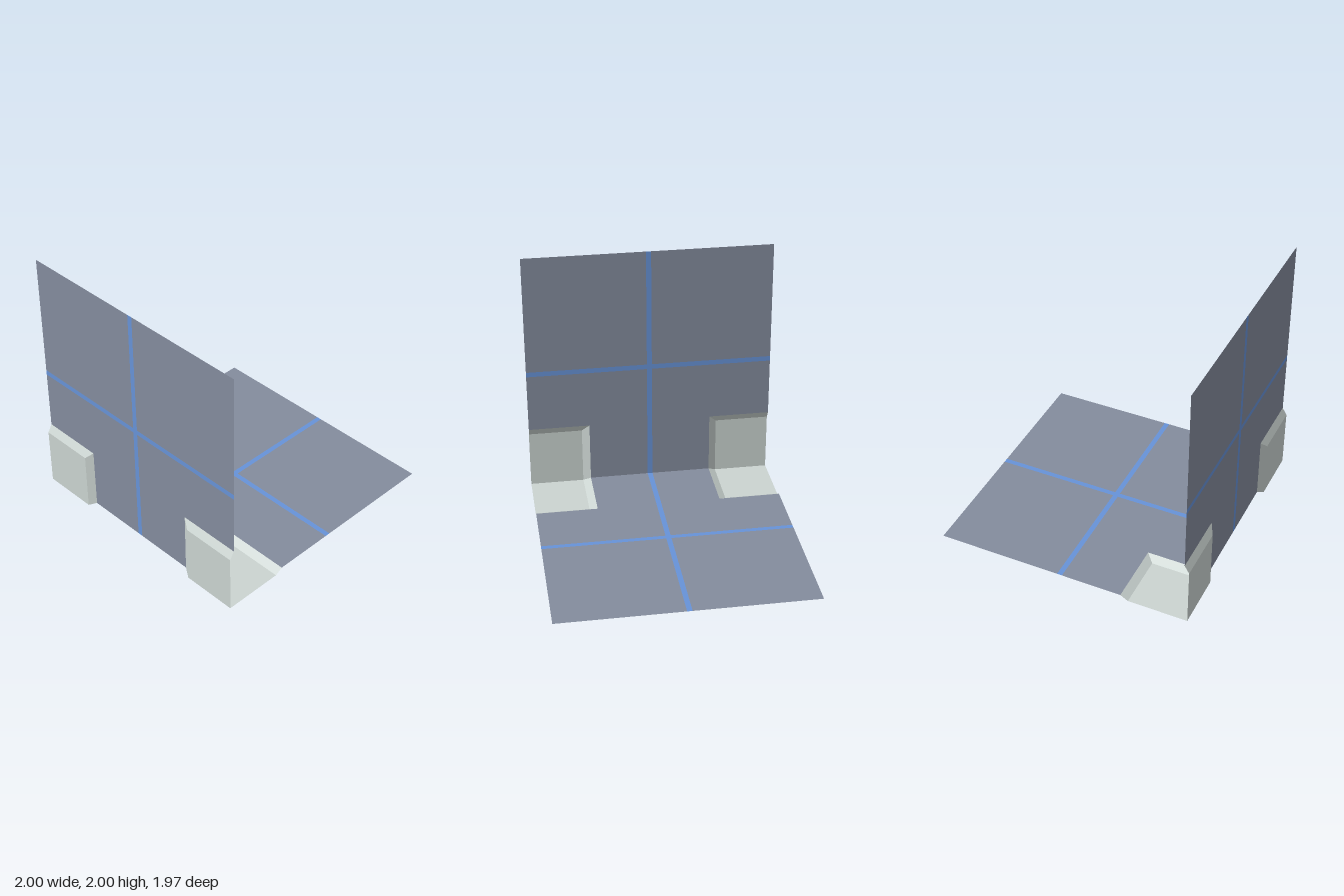
import * as THREE from 'three';

const L = 1.965;        // panel side length
const Z = L / 2;        // half width along z
const D = 0.035;        // depth of the recessed corners
const U = 0.49;         // corner opening size
const S = 0.06;         // run of the sloped corner edges
const A = Z - U;        // inner z edge of a corner opening
const G = 0.02;         // half width of a stripe
const M = L / 2;        // panel middle

const mat = (name, color) => {
  const m = new THREE.MeshStandardMaterial({ color, side: THREE.DoubleSide });
  m.name = name;
  return m;
};

// Local points are [distance from hinge, z, depth outward].
const toFloor = ([u, z, w]) => [D - 1 + u, D - w, z];
const toWall = ([u, z, w]) => [D - 1 - w, D + u, z];

// Flat-shaded mesh from four-cornered faces
function quadMesh(name, quads, place, material, flip) {
  const order = flip ? [0, 1, 2, 0, 2, 3] : [0, 2, 1, 0, 3, 2];
  const pos = quads.flatMap(q => order.flatMap(i => place(q[i])));
  const geo = new THREE.BufferGeometry();
  geo.setAttribute('position', new THREE.Float32BufferAttribute(pos, 3));
  geo.computeVertexNormals();
  const mesh = new THREE.Mesh(geo, material);
  mesh.name = name;
  return mesh;
}

const rect = (u0, u1, z0, z1) => [[u0, z0, 0], [u1, z0, 0], [u1, z1, 0], [u0, z1, 0]];

// One square panel with its cross stripes and two recessed corners
function buildPanel(name, place, isWall, mats) {
  const group = new THREE.Group();
  group.name = name;

  for (const s of [1, -1]) {
    const side = s > 0 ? 'Left' : 'Right';
    const label = s > 0 ? 'Front' : 'Back';
    const mirrored = p => place([p[0], p[1] * s, p[2]]);
    const flip = isWall === (s > 0);

    // Sheet around the corner opening
    group.add(quadMesh(name + 'Sheet' + label, [
      rect(0, U, G, A),
      rect(U, M - G, G, Z),
      rect(M + G, L, G, Z),
    ], mirrored, mats.sheet, flip));

    // Half of the stripe running along z
    group.add(quadMesh(name + 'CrossStripe' + label,
      [rect(M - G, M + G, G, Z)], mirrored, mats.stripe, flip));

    // Recessed corner: base, side slope and end slope
    const E = U - S, B = A + S;
    group.add(quadMesh(name + 'Corner' + label, [
      [[-D, B, D], [E, B, D], [E, Z, D], [-D, Z, D]],
      [[0, A, 0], [U, A, 0], [E, B, D], [-D, B, D]],
      [[U, A, 0], [U, Z, 0], [E, Z, D], [E, B, D]],
    ], mirrored, mats.corner, flip));
  }

  // Stripe running away from the hinge
  group.add(quadMesh(name + 'LongStripe', [rect(0, L, -G, G)], place, mats.stripe, isWall));
  return group;
}

export function createModel() {
  const mats = {
    sheet: mat('slate grey', 0x848c9d),
    stripe: mat('blue', 0x6793d8),
    corner: mat('pale grey', 0xcbd4d1),
  };
  const model = new THREE.Group();
  model.name = 'hingedPanels';
  model.add(buildPanel('floor', toFloor, false, mats));
  model.add(buildPanel('wall', toWall, true, mats));
  return model;
}
